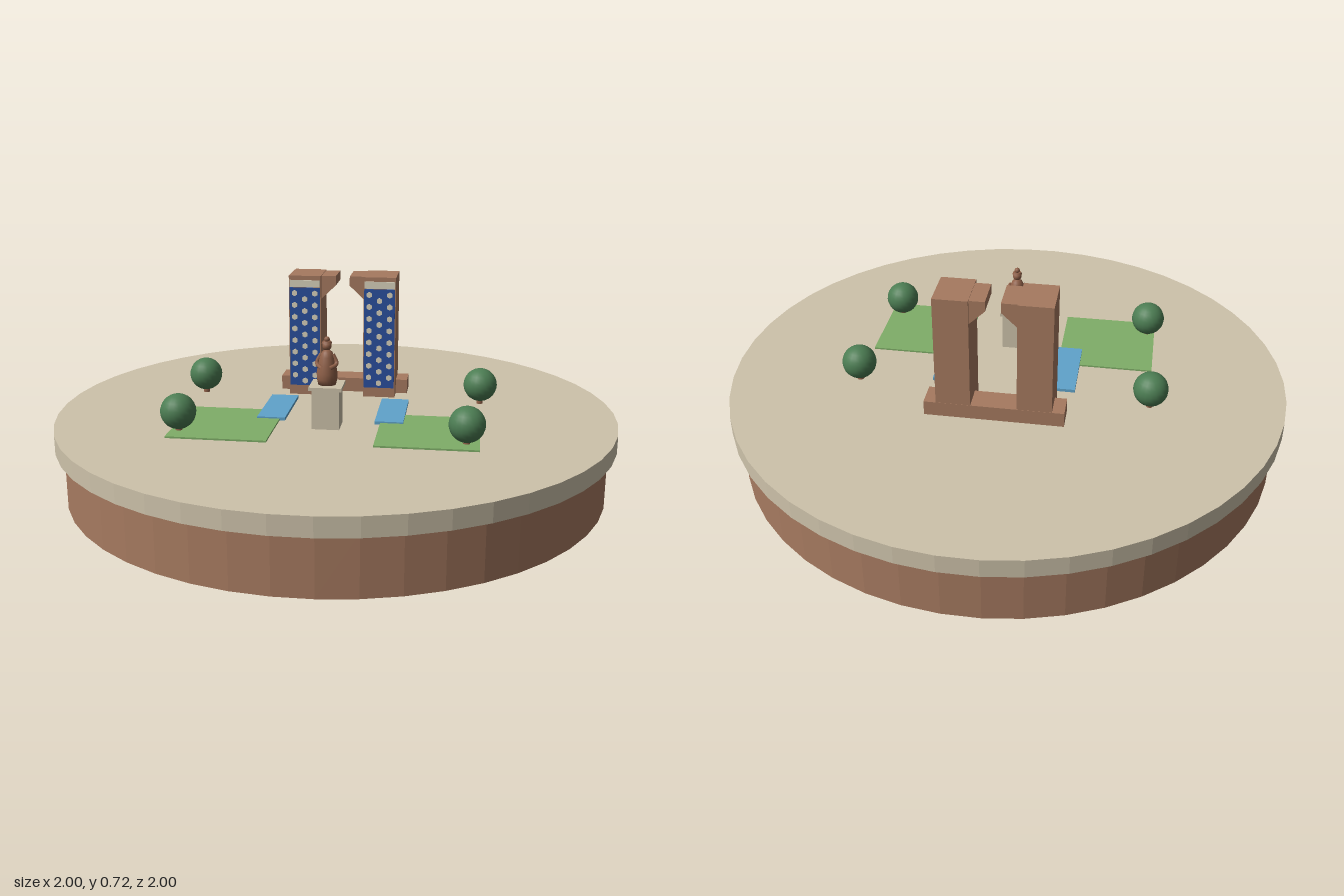
import * as THREE from 'three';

const mat = (name, color, extra = {}) => Object.assign(new THREE.MeshStandardMaterial({ color, ...extra }), { name });

export function createModel() {
  const brick = mat('brick', 0xa67a60);
  const brickFlat = mat('plinthBrick', 0xa67a60, { flatShading: true });
  const stone = mat('stone', 0xcdc2aa, { flatShading: true });
  const bronze = mat('bronze', 0x8f6048);
  const lawnGreen = mat('lawnGreen', 0x7fae68);
  const leaf = mat('leaf', 0x4c7d53);
  const water = mat('water', 0x5fa3cb);
  const glass = mat('glass', 0x2a4f9e);
  const tile = mat('tile', 0xd9d3bd);

  const model = new THREE.Group();
  model.name = 'monumentSquare';
  const GROUND = 0.265;

  const add = (parent, name, geo, material, x = 0, y = 0, z = 0) => {
    const m = new THREE.Mesh(geo, material);
    m.name = name;
    m.position.set(x, y, z);
    parent.add(m);
    return m;
  };
  // box given by its base height and top height
  const block = (parent, name, material, w, d, y0, y1, x, z) =>
    add(parent, name, new THREE.BoxGeometry(w, y1 - y0, d), material, x, (y0 + y1) / 2, z);

  // round plinth
  add(model, 'plinthBase', new THREE.CylinderGeometry(0.97, 0.97, 0.2, 48), brickFlat, 0, 0.1, 0);
  add(model, 'plinthSlab', new THREE.CylinderGeometry(1, 1, 0.065, 48), stone, 0, 0.2325, 0);

  // everything on the square is turned together
  const square = new THREE.Group();
  square.name = 'square';
  square.rotation.y = -0.335;
  model.add(square);

  // lawns and pools
  for (const s of [-1, 1]) {
    block(square, 'lawn', lawnGreen, 0.345, 0.345, GROUND, 0.271, s * 0.35, 0.24);
    block(square, 'pool', water, 0.1, 0.28, GROUND, 0.276, s * 0.208, 0.031);
  }

  // gate building: low base and two mirrored towers
  const gate = new THREE.Group();
  gate.name = 'gateBuilding';
  square.add(gate);
  block(gate, 'gateBase', brick, 0.485, 0.092, GROUND, 0.318, 0, -0.274);

  const TOP = 0.722, FRONT = -0.165, BACK = -0.319;
  const diamond = new THREE.CylinderGeometry(0.0115, 0.0115, 0.003, 6).rotateX(Math.PI / 2);
  for (const s of [-1, 1]) {
    const tower = new THREE.Group();
    tower.name = s < 0 ? 'rightTower' : 'leftTower';
    gate.add(tower);
    const cx = s * 0.14;
    block(tower, 'towerBody', brick, 0.12, FRONT - BACK, GROUND, TOP, cx, (FRONT + BACK) / 2);

    // sloped corbel reaching toward the other tower
    const shape = new THREE.Shape([[0.082, 0.632], [0.082, TOP - 0.002], [0.026, TOP - 0.002], [0.026, 0.685]]
      .map(([x, y]) => new THREE.Vector2(s * x, y)));
    add(tower, 'corbel', new THREE.ExtrudeGeometry(shape, { depth: 0.125, bevelEnabled: false }),
      brick, 0, 0, -0.31);

    // glazed front with staggered tiles and a pale band above
    block(tower, 'glassFront', glass, 0.114, 0.006, 0.302, 0.678, cx, FRONT + 0.001);
    block(tower, 'topBand', tile, 0.114, 0.006, 0.68, 0.706, cx, FRONT + 0.001);
    for (let r = 0; r < 8; r++) {
      for (let c = -1; c <= 1; c++) {
        const y = 0.331 + r * 0.045 + (c === 0 ? -0.011 : 0.011);
        add(tower, 'facadeTile', diamond, tile, cx + c * 0.038, y, FRONT + 0.005);
      }
    }
  }

  // statue on its pedestal
  const monument = new THREE.Group();
  monument.name = 'monument';
  monument.position.set(-0.003, 0, 0.205);
  square.add(monument);
  block(monument, 'pedestal', stone, 0.095, 0.095, GROUND, 0.403, 0, 0);
  block(monument, 'pedestalCap', stone, 0.113, 0.113, 0.403, 0.415, 0, 0);
  const robe = [[0, 0.415], [0.031, 0.415], [0.035, 0.435], [0.036, 0.455], [0.031, 0.485],
    [0.025, 0.512], [0.018, 0.528], [0.008, 0.536], [0, 0.537]].map(([x, y]) => new THREE.Vector2(x, y));
  add(monument, 'robe', new THREE.LatheGeometry(robe, 20), bronze);
  add(monument, 'head', new THREE.SphereGeometry(0.016, 14, 10), bronze, 0, 0.549, 0);
  add(monument, 'hatBrim', new THREE.CylinderGeometry(0.014, 0.018, 0.008, 14), bronze, 0, 0.562, 0);
  add(monument, 'hatTop', new THREE.SphereGeometry(0.01, 12, 8), bronze, 0, 0.572, 0);
  for (const s of [-1, 1]) {
    const path = new THREE.CatmullRomCurve3([
      new THREE.Vector3(s * 0.02, 0.52, 0),
      new THREE.Vector3(s * 0.034, 0.49, 0.008),
      new THREE.Vector3(s * 0.014, 0.478, 0.034)]);
    add(monument, 'arm', new THREE.TubeGeometry(path, 8, 0.007, 8), bronze);
  }

  // round trees
  for (const [x, z] of [[-0.445, -0.315], [-0.577, 0.155], [0.535, 0.043], [0.337, 0.488]]) {
    const tree = new THREE.Group();
    tree.name = 'tree';
    tree.position.set(x, 0, z);
    model.add(tree);
    add(tree, 'trunk', new THREE.CylinderGeometry(0.01, 0.012, 0.04, 8), bronze, 0, GROUND + 0.02, 0);
    add(tree, 'crown', new THREE.SphereGeometry(0.061, 20, 14), leaf, 0, 0.337, 0);
  }
  return model;
}
